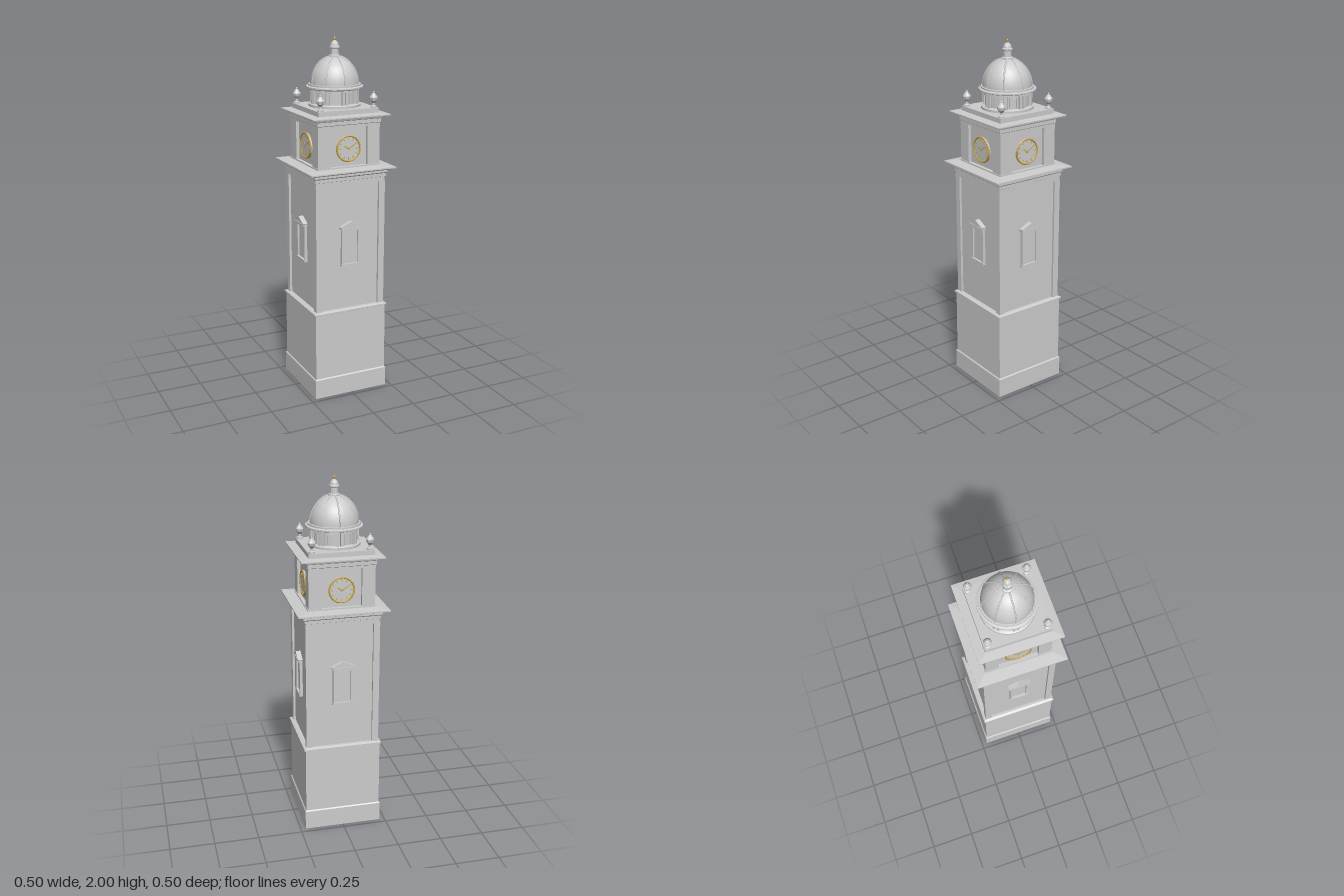
import * as THREE from 'three';
import { mergeGeometries, toCreasedNormals } from 'three/addons/utils/BufferGeometryUtils.js';

const stone = new THREE.MeshStandardMaterial({ color: 0xcccccc });
const gold = new THREE.MeshStandardMaterial({ color: 0xc9a23c });

function add(parent, name, geometry, material = stone) {
  const mesh = new THREE.Mesh(geometry, material);
  mesh.name = name;
  parent.add(mesh);
  return mesh;
}

// Box given by its centre in x, base in y, and back plane in z
function block(x, y, z, w, h, d) {
  return new THREE.BoxGeometry(w, h, d).translate(x, y + h / 2, z + d / 2);
}

// Profile of [half width or radius, y], bottom to top
function turned(profile, segments = 48, crease = 0.6) {
  const points = profile.map(([r, y]) => new THREE.Vector2(r, y));
  return toCreasedNormals(new THREE.LatheGeometry(points, segments), crease);
}

// Square moulding: a four-sided turning with its flats facing the axes
function squared(profile) {
  const points = profile.map(([r, y]) => new THREE.Vector2(r * Math.SQRT2, y));
  return toCreasedNormals(new THREE.LatheGeometry(points, 4, Math.PI / 4), 0.1);
}

function extruded(points, depth) {
  const shape = new THREE.Shape(points.map(([x, y]) => new THREE.Vector2(x, y)));
  return new THREE.ExtrudeGeometry(shape, { depth, bevelEnabled: false });
}

// Framed window with sill and pediment, standing on the shaft wall
function windowSurround() {
  const g = new THREE.Group();
  g.name = 'window';
  const z = 0.194;
  add(g, 'windowFrame', mergeGeometries([
    block(-0.048, 0.775, z, 0.013, 0.2, 0.016),
    block(0.048, 0.775, z, 0.013, 0.2, 0.016),
    block(0, 0.962, z, 0.083, 0.013, 0.016)
  ]));
  add(g, 'windowPanel', block(0, 0.775, z, 0.084, 0.19, 0.006));
  add(g, 'windowSill', block(0, 0.763, z, 0.116, 0.012, 0.02));
  add(g, 'pedimentBase', block(0, 0.975, z, 0.124, 0.009, 0.026));
  const pediment = extruded([[-0.062, 0.984], [0.062, 0.984], [0, 1.016]], 0.022);
  add(g, 'pediment', pediment.translate(0, 0, z));
  const slope = Math.atan2(0.03, 0.064);
  for (const s of [-1, 1]) {
    const rake = add(g, 'pedimentRake', new THREE.BoxGeometry(0.07, 0.006, 0.028));
    rake.position.set(s * 0.031, 1.001, z + 0.014);
    rake.rotation.z = -s * slope;
  }
  return g;
}

// Clock dial with ring, hour marks and hands
function clock() {
  const g = new THREE.Group();
  g.name = 'clock';
  g.position.set(0, 1.413, 0.168);
  add(g, 'clockFace', new THREE.CylinderGeometry(0.07, 0.07, 0.014, 48).rotateX(Math.PI / 2));
  add(g, 'clockRing', new THREE.TorusGeometry(0.068, 0.0045, 8, 48).translate(0, 0, 0.007), gold);
  const marks = [];
  for (let i = 0; i < 12; i++) {
    marks.push(block(0, 0.048, 0.007, 0.004, 0.012, 0.002).rotateZ(i * Math.PI / 6));
  }
  add(g, 'hourMarks', mergeGeometries(marks), gold);
  const hand = (name, length, width, angle) => add(g, name,
    extruded([[-width / 2, -0.008], [width / 2, -0.008], [width / 2, length * 0.7], [0, length], [-width / 2, length * 0.7]], 0.002)
      .translate(0, 0, 0.008).rotateZ(angle), gold);
  hand('hourHand', 0.034, 0.006, 1.03);
  hand('minuteHand', 0.05, 0.0045, -1.03);
  add(g, 'handHub', new THREE.CylinderGeometry(0.005, 0.005, 0.006, 12).rotateX(Math.PI / 2).translate(0, 0, 0.009), gold);
  return g;
}

export function createModel() {
  const tower = new THREE.Group();
  tower.name = 'clockTower';

  // Square stages and mouldings
  add(tower, 'plinth', squared([[0, 0], [0.221, 0], [0.221, 0.11], [0.215, 0.116], [0, 0.116]]));
  add(tower, 'base', squared([[0.215, 0.116], [0.214, 0.497]]));
  add(tower, 'baseBand', squared([[0.214, 0.495], [0.222, 0.499], [0.222, 0.507], [0.208, 0.513], [0, 0.513]]));
  add(tower, 'shaft', squared([[0.194, 0.51], [0.194, 1.23]]));
  add(tower, 'shaftEntablature', squared([
    [0.19, 1.222], [0.206, 1.222], [0.206, 1.246], [0.21, 1.248], [0.21, 1.266], [0.217, 1.272],
    [0.217, 1.284], [0.232, 1.29], [0.236, 1.295], [0.252, 1.297], [0.252, 1.304], [0.19, 1.311], [0, 1.311]
  ]));
  add(tower, 'clockStage', squared([[0.165, 1.305], [0.165, 1.55]]));
  add(tower, 'clockStageFoot', squared([[0.187, 1.305], [0.187, 1.318], [0.16, 1.318]]));
  add(tower, 'clockEntablature', squared([
    [0.16, 1.53], [0.184, 1.53], [0.184, 1.543], [0.188, 1.546], [0.188, 1.566], [0.194, 1.569],
    [0.198, 1.579], [0.208, 1.584], [0.227, 1.585], [0.227, 1.591], [0.178, 1.596], [0, 1.596]
  ]));
  add(tower, 'attic', squared([[0.178, 1.594], [0.178, 1.622], [0, 1.622]]));

  // Corner piers and urns
  for (const sx of [-1, 1]) for (const sz of [-1, 1]) {
    const pier = add(tower, 'shaftPier', new THREE.BoxGeometry(0.036, 0.716, 0.036));
    pier.position.set(sx * 0.189, 0.868, sz * 0.189);
    const clockPier = add(tower, 'clockPier', new THREE.BoxGeometry(0.073, 0.222, 0.073));
    clockPier.position.set(sx * 0.1465, 1.422, sz * 0.1465);
    const urn = add(tower, 'urn', turned([
      [0.018, 0], [0.018, 0.01], [0.008, 0.014], [0.007, 0.026], [0.019, 0.04], [0.023, 0.055],
      [0.021, 0.061], [0.015, 0.068], [0.009, 0.077], [0.005, 0.08], [0.005, 0.086], [0, 0.09]
    ], 8, 0.3));
    urn.position.set(sx * 0.157, 1.62, sz * 0.157);
  }

  // Windows and clocks on all four faces
  for (let i = 0; i < 4; i++) {
    const face = new THREE.Group();
    face.name = 'face';
    face.add(windowSurround(), clock());
    face.rotation.y = i * Math.PI / 2;
    tower.add(face);
  }

  // Drum with paired pilasters and sunk panels
  add(tower, 'drum', turned([
    [0.142, 1.62], [0.142, 1.634], [0.137, 1.638], [0.122, 1.64], [0.122, 1.71], [0.136, 1.71],
    [0.136, 1.716], [0.144, 1.72], [0.156, 1.723], [0.156, 1.73], [0.143, 1.734], [0.143, 1.742], [0.12, 1.744]
  ]));
  const pilasters = [], frames = [];
  for (let i = 0; i < 8; i++) {
    const a = i * Math.PI / 4;
    for (const s of [-1, 1]) pilasters.push(block(0, 1.636, 0.118, 0.013, 0.076, 0.016).rotateY(a + s * 0.085));
    for (const x of [-0.019, 0.019]) frames.push(block(x, 1.645, 0.112, 0.004, 0.056, 0.014).rotateY(a + Math.PI / 8));
    frames.push(block(0, 1.698, 0.112, 0.042, 0.004, 0.014).rotateY(a + Math.PI / 8));
  }
  add(tower, 'drumPilasters', mergeGeometries(pilasters));
  add(tower, 'drumPanelFrames', mergeGeometries(frames));

  // Dome and its eight ribs
  const arc = (r, n) => Array.from({ length: n + 1 }, (_, i) => {
    const t = i / n * 1.42;
    return [r * Math.cos(t), 1.74 + (r + 0.017) * Math.sin(t)];
  });
  add(tower, 'dome', turned(arc(0.133, 20), 64));
  const ribCurve = new THREE.CatmullRomCurve3(arc(0.134, 10).map(([r, y]) => new THREE.Vector3(r, y, 0)));
  const rib = new THREE.TubeGeometry(ribCurve, 20, 0.004, 6);
  for (let i = 0; i < 8; i++) add(tower, 'domeRib', rib).rotation.y = i * Math.PI / 4;

  // Lantern and finial
  add(tower, 'lantern', turned([
    [0.031, 1.878], [0.031, 1.893], [0.023, 1.897], [0.021, 1.928], [0.028, 1.932], [0.028, 1.94],
    [0.023, 1.944], [0.021, 1.955], [0.014, 1.965], [0.006, 1.971], [0, 1.972]
  ], 24));
  add(tower, 'finial', turned([[0.004, 1.969], [0.004, 1.976], [0.007, 1.981], [0.004, 1.986], [0.002, 1.99], [0, 2]], 12), gold);

  return tower;
}
